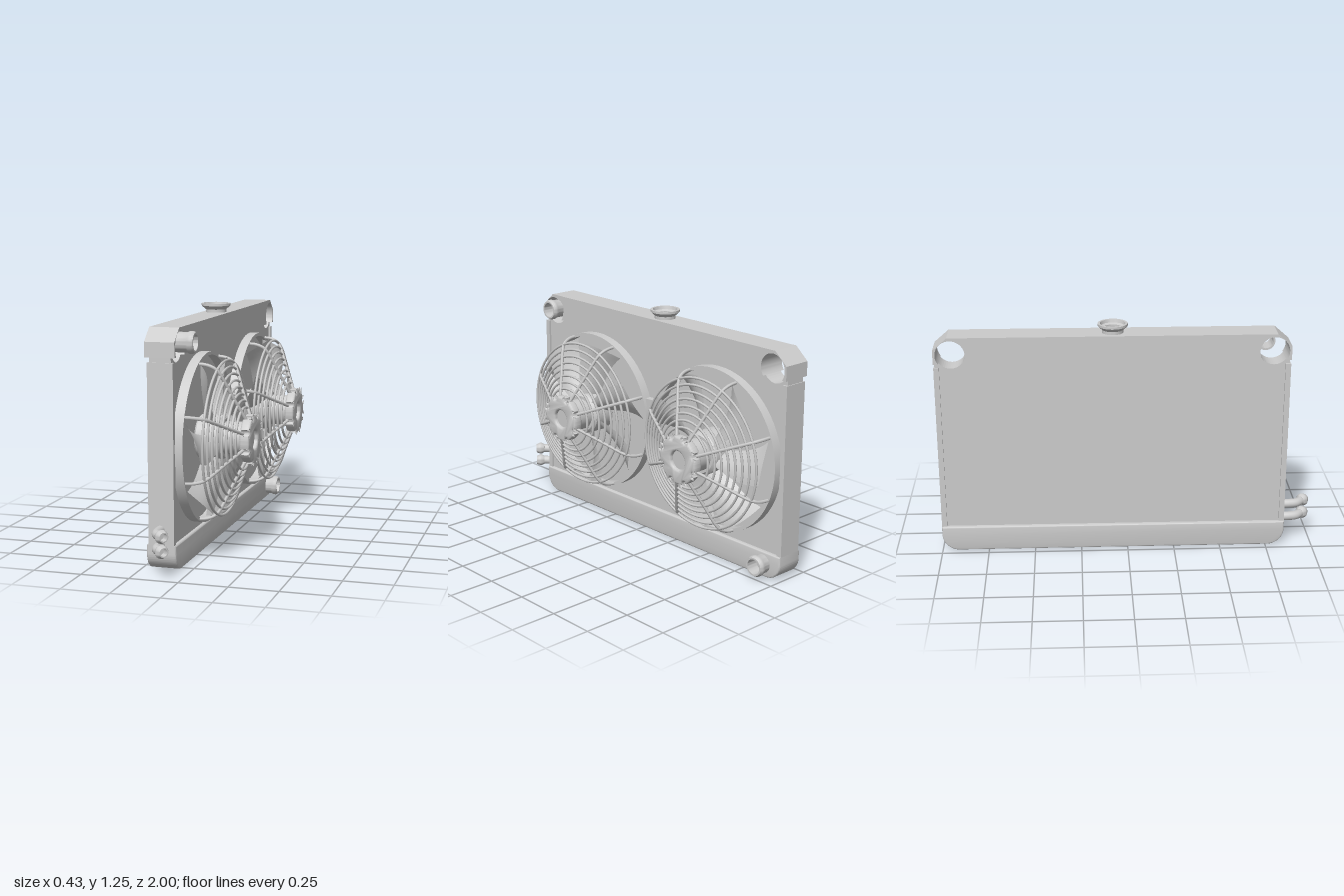
import * as THREE from 'three';
import { toCreasedNormals } from 'three/addons/utils/BufferGeometryUtils.js';

const grey = new THREE.MeshStandardMaterial({ color: 0xcccccc });
const greyThin = new THREE.MeshStandardMaterial({ color: 0xcccccc, side: THREE.DoubleSide });

function part(name, geometry, parent, material = grey) {
  const mesh = new THREE.Mesh(geometry, material);
  mesh.name = name;
  parent.add(mesh);
  return mesh;
}

// Extrudes a side-on outline between two depths
function slab(shape, z0, z1, bevel = 0) {
  const g = new THREE.ExtrudeGeometry(shape, {
    depth: z1 - z0 - 2 * bevel, bevelEnabled: bevel > 0, bevelSize: bevel,
    bevelThickness: bevel, bevelOffset: -bevel, bevelSegments: 3, curveSegments: 20,
  });
  g.translate(0, 0, z0 + bevel);
  return toCreasedNormals(g, 0.6);
}

// Turned part whose axis points along z; points are [radius, depth]
function turned(points, segments = 48) {
  const g = new THREE.LatheGeometry(points.map(p => new THREE.Vector2(...p)), segments);
  return toCreasedNormals(g.rotateX(Math.PI / 2), 0.6);
}

const LEFT = -0.85, RIGHT = 1.0, SEAM = 1.06;
const HOLES = [-0.762, 0.912], HOLE_Y = 1.107, HOLE_R = 0.077;
const PHI = Math.asin((HOLE_Y - SEAM) / HOLE_R), HALF = HOLE_R * Math.cos(PHI);

function topTankShape() {
  const s = new THREE.Shape();
  s.moveTo(LEFT, SEAM);
  for (const c of HOLES) {
    s.lineTo(c - HALF, SEAM);
    s.absarc(c, HOLE_Y, HOLE_R, Math.PI + PHI, -PHI, true);
  }
  s.lineTo(RIGHT, SEAM);
  s.lineTo(RIGHT, 1.135);
  s.lineTo(RIGHT - 0.075, 1.2);
  s.lineTo(LEFT + 0.075, 1.2);
  s.lineTo(LEFT, 1.135);
  s.closePath();
  return s;
}

function coreShape() {
  const s = new THREE.Shape();
  s.moveTo(LEFT + 0.005, 0.1);
  s.lineTo(RIGHT - 0.005, 0.1);
  s.lineTo(RIGHT - 0.005, SEAM);
  for (const c of [...HOLES].reverse()) {
    s.lineTo(c + HALF, SEAM);
    s.absarc(c, HOLE_Y, HOLE_R, -PHI, PHI - Math.PI, true);
  }
  s.lineTo(LEFT + 0.005, SEAM);
  s.closePath();
  return s;
}

function bottomTankShape() {
  const s = new THREE.Shape(), r = 0.09;
  s.moveTo(LEFT, 0.135);
  s.lineTo(LEFT, r);
  s.absarc(LEFT + r, r, r, Math.PI, Math.PI * 1.5, false);
  s.lineTo(RIGHT - r, 0);
  s.absarc(RIGHT - r, r, r, -Math.PI / 2, 0, false);
  s.lineTo(RIGHT, 0.135);
  s.closePath();
  return s;
}

// Swept, pitched fan blade; dir mirrors the sweep
function bladeGeometry(tipAngle, dir) {
  const g = new THREE.PlaneGeometry(1, 1, 8, 10), p = g.attributes.position;
  for (let i = 0; i < p.count; i++) {
    const t = p.getX(i) + 0.5, s = p.getY(i) + 0.5;
    const r = 0.1 + 0.31 * s;
    const chord = (0.62 - 0.12 * s) * t;
    const a = tipAngle + 0.22 * (1 - s * s) - chord;
    const z = 0.05 - 0.085 * t + 0.02 * Math.sin(Math.PI * t);
    p.setXYZ(i, dir * r * Math.cos(a), r * Math.sin(a), z);
  }
  g.computeVertexNormals();
  return g;
}

function fan(dir) {
  const f = new THREE.Group();
  f.name = 'fan';
  part('shroudRim', turned([[0.422, -0.09], [0.44, -0.09], [0.44, -0.03], [0.422, -0.03], [0.422, -0.09]], 72), f);

  // Concentric guard rings on a cone
  for (let i = 0; i < 8; i++) {
    const r = 0.398 - i * 0.034;
    const ring = part('guardRing', new THREE.TorusGeometry(r, 0.007, 6, 72), f);
    ring.position.z = 0.058 + (0.398 - r) * 0.41;
  }

  // Guard ribs
  const path = new THREE.CatmullRomCurve3([[0.43, -0.04], [0.424, 0.01], [0.404, 0.05],
    [0.375, 0.07], [0.25, 0.12], [0.11, 0.178]].map(([r, z]) => new THREE.Vector3(r, 0, z)));
  const rib = new THREE.TubeGeometry(path, 24, 0.009, 6);
  for (let i = 0; i < 8; i++) part('guardRib', rib, f).rotation.z = (i + 0.5) * Math.PI / 4;

  // Scalloped hub cap with a recessed centre
  const cap = new THREE.Shape(), R = 0.127, bite = 0.017, w = bite / R;
  for (let i = 0; i < 8; i++) {
    const a = (i + 0.5) * Math.PI / 4;
    cap.absarc(0, 0, R, a - Math.PI / 4 + w, a - w, false);
    cap.absarc(R * Math.cos(a), R * Math.sin(a), bite, a - Math.PI / 2, a - Math.PI * 1.5, true);
  }
  const bore = new THREE.Path();
  bore.absarc(0, 0, 0.05, 0, Math.PI * 2, true);
  cap.holes.push(bore);
  part('hubCap', slab(cap, 0.163, 0.215, 0.012), f);
  part('hubCentre', turned([[0.07, 0.165], [0.07, 0.195], [0, 0.195]]), f);
  part('motor', turned([[0, -0.08], [0.105, -0.08], [0.115, -0.07], [0.115, 0.045],
    [0.1, 0.06], [0.085, 0.06], [0.085, 0.168], [0, 0.168]]), f);

  for (let i = 0; i < 7; i++) {
    part('blade', bladeGeometry(1.5 + i * Math.PI * 2 / 7, dir), f, greyThin);
  }
  return f;
}

export function createModel() {
  const model = new THREE.Group();
  model.name = 'radiator';
  // Assembled face-on, then turned so the fans point to +x
  const body = new THREE.Group();
  body.name = 'radiatorAssembly';
  body.rotation.y = Math.PI / 2;
  model.add(body);

  part('topTank', slab(topTankShape(), -0.213, -0.06), body);
  part('bottomTank', slab(bottomTankShape(), -0.213, -0.06, 0.008), body);
  part('core', slab(coreShape(), -0.19, -0.08), body);
  for (const x of [LEFT + 0.014, RIGHT - 0.014]) {
    part('sideRail', new THREE.BoxGeometry(0.028, 0.91, 0.132), body).position.set(x, 0.58, -0.135);
  }

  // Two mirrored fans
  for (const [x, dir] of [[-0.39, 1], [0.535, -1]]) {
    const f = fan(dir);
    f.position.set(x, 0.6, 0);
    body.add(f);
  }

  // Waisted bracket between the fans
  const bracket = new THREE.Shape();
  const edge = [[0.16, 0.05], [0.08, 0.03], [0, 0.022], [-0.08, 0.03], [-0.16, 0.05]];
  bracket.setFromPoints([
    ...edge.map(([y, w]) => new THREE.Vector2(0.0725 - w, 0.6 + y)),
    ...[...edge].reverse().map(([y, w]) => new THREE.Vector2(0.0725 + w, 0.6 + y)),
  ]);
  part('fanBracket', slab(bracket, -0.085, -0.045), body);

  // Main hose necks, open at the end
  const neck = turned([[0.04, -0.09], [0.05, -0.09], [0.05, -0.03], [0.056, -0.018], [0.056, -0.004],
    [0.049, 0.008], [0.04, 0.008], [0.04, -0.09]]);
  part('inletNeck', neck, body).position.set(-0.73, 1.125, 0);
  part('outletNeck', neck, body).position.set(0.885, 0.07, 0);

  // Filler neck
  const filler = turned([[0.05, 0], [0.056, 0], [0.056, 0.018], [0.07, 0.03], [0.078, 0.038],
    [0.078, 0.05], [0.066, 0.05], [0.062, 0.034], [0.046, 0.028], [0.046, 0.002], [0, 0.002]]);
  const neckTop = part('fillerNeck', filler, body, greyThin);
  neckTop.rotation.x = -Math.PI / 2;
  neckTop.position.set(0.075, 1.198, -0.137);

  // Bent cooler fittings at the lower side
  const bend = new THREE.CatmullRomCurve3([[-0.83, -0.14], [-0.885, -0.14], [-0.925, -0.132],
    [-0.95, -0.11], [-0.973, -0.083]].map(([x, z]) => new THREE.Vector3(x, 0, z)));
  const tube = new THREE.TubeGeometry(bend, 24, 0.024, 16);
  const barb = turned([[0.02, -0.03], [0.025, -0.03], [0.034, -0.012], [0.034, -0.004],
    [0.025, 0.016], [0.019, 0.016], [0.019, -0.02], [0, -0.02]], 24);
  for (const y of [0.21, 0.135]) {
    part('coolerPipe', tube, body, greyThin).position.y = y;
    const b = part('coolerBarb', barb, body, greyThin);
    b.position.set(-0.969, y, -0.088);
    b.rotation.y = -0.71;
  }
  return model;
}
